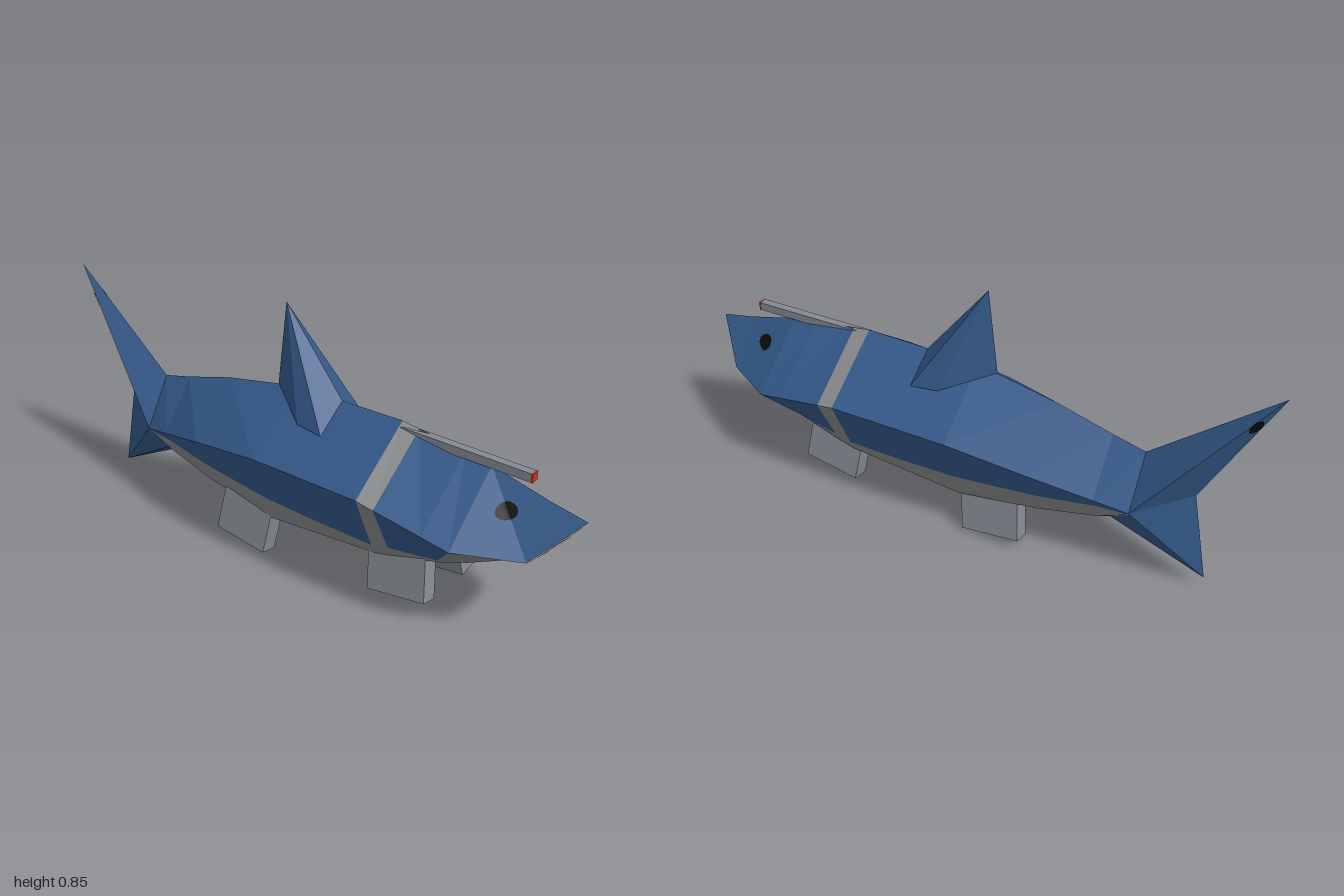
import * as THREE from 'three';

const paint = (name, color) => {
  const m = new THREE.MeshStandardMaterial({ color, side: THREE.DoubleSide, flatShading: true });
  m.name = name;
  return m;
};

// Triangles for the +z half, mirrored to the -z half
function mirrored(tris) {
  const out = [];
  for (const [a, b, c] of tris) {
    const area = new THREE.Triangle(...[a, b, c].map(p => new THREE.Vector3(...p))).getArea();
    if (area < 1e-7) continue;
    out.push(...a, ...b, ...c);
    for (const p of [a, c, b]) out.push(p[0], p[1], -p[2]);
  }
  const g = new THREE.BufferGeometry();
  g.setAttribute('position', new THREE.Float32BufferAttribute(out, 3));
  g.computeVertexNormals();
  return g;
}

export function createModel() {
  const model = new THREE.Group();
  model.name = 'armedShark';
  const blue = paint('sharkBlue', 0x34598a);
  const grey = paint('bellyGrey', 0x8a8b8c);
  const metal = paint('legGrey', 0x858a92);
  const black = paint('black', 0x0c0c0c);
  const pale = paint('toothWhite', 0xd2cfcd);
  const pink = paint('gumPink', 0xc98478);
  const red = paint('red', 0xc8352a);

  const add = (name, geometry, material, parent = model) => {
    const m = new THREE.Mesh(geometry, material);
    m.name = name;
    parent.add(m);
    return m;
  };

  // Body stations: x, ridge y, half width, shoulder y, paint line y, belly z, belly y, keel y
  const stations = [
    [-0.61, 0.45, 0.10, 0.28, 0.275, 0.07, 0.22, 0.19],
    [-0.50, 0.475, 0.125, 0.305, 0.275, 0.085, 0.215, 0.18],
    [-0.31, 0.525, 0.178, 0.355, 0.255, 0.105, 0.18, 0.145],
    [-0.03, 0.575, 0.218, 0.40, 0.235, 0.125, 0.145, 0.115],
    [0.155, 0.576, 0.225, 0.403, 0.222, 0.128, 0.16, 0.127],
    [0.38, 0.577, 0.233, 0.405, 0.212, 0.13, 0.177, 0.142],
    [0.44, 0.568, 0.23, 0.393, 0.225, 0.126, 0.188, 0.157],
    [0.60, 0.544, 0.22, 0.36, 0.232, 0.113, 0.222, 0.195],
    [0.69, 0.53, 0.213, 0.34, 0.34, 0.10, 0.25, 0.235],
    [0.88, 0.48, 0.11, 0.33, 0.33, 0.065, 0.325, 0.318],
    [1.0, 0.455, 0, 0.455, 0.455, 0, 0.455, 0.455],
  ];
  const rings = stations.map(([x, ry, w, sy, py, bz, by, ky], i) => {
    const f = sy === by ? 0 : (sy - py) / (sy - by);
    const bx = i ? x : -0.54;
    return [[x, ry, 0], [x, sy, w], [x, py, w + (bz - w) * f], [bx, by, bz], [bx, ky, 0]];
  });
  const skin = { back: [], belly: [], strap: [] };
  for (let i = 0; i < rings.length - 1; i++) {
    for (let r = 0; r < 4; r++) {
      const a = rings[i][r], b = rings[i][r + 1], c = rings[i + 1][r + 1], d = rings[i + 1][r];
      const part = r > 1 ? 'belly' : i === 5 ? 'strap' : 'back';
      skin[part].push([a, b, c], [a, c, d]);
    }
  }
  const back = add('back', mirrored(skin.back), blue);
  const belly = add('belly', mirrored(skin.belly), grey);
  add('strap', mirrored(skin.strap), grey);

  // Tail with a tall upper lobe and a short lower lobe
  const [R, S, , B, K] = rings[0];
  const T = [-1, 0.775, 0], N = [-0.78, 0.35, 0], L = [-0.84, 0.045, 0];
  const tail = add('tailFin', mirrored([[T, S, R], [T, N, S], [N, L, S], [L, B, S], [L, K, B]]), blue);

  // Dorsal fin
  const tip = [-0.065, 0.85, 0], front = [0.155, 0.576, 0], rear = [-0.1, 0.565, 0];
  const P = [0.155, 0.495, 0.11], Q = [0.06, 0.505, 0.105];
  add('dorsalFin', mirrored([[tip, Q, P], [tip, P, front], [tip, rear, Q]]), blue);

  // Four stubby legs, splayed outward
  for (const [name, x, y, tilt] of [['frontLeg', 0.465, 0.145, 0.13], ['rearLeg', -0.142, 0.105, -0.12]]) {
    for (const s of [1, -1]) {
      const leg = add(name, new THREE.BoxGeometry(0.205, 0.17, 0.06), metal);
      leg.position.set(x, y, s > 0 ? 0.104 : -0.092);
      leg.rotation.set(-0.19 * s, 0, tilt);
    }
  }

  // Beam emitter on the head
  const emitter = new THREE.Group();
  emitter.name = 'beamEmitter';
  emitter.position.set(0.605, 0.546, 0.005);
  emitter.rotation.z = -0.02;
  model.add(emitter);
  add('barrel', new THREE.BoxGeometry(0.44, 0.028, 0.028), metal, emitter);
  add('lens', new THREE.BoxGeometry(0.006, 0.029, 0.029), red, emitter).position.x = 0.222;

  // Thin painted patch: a grid laid onto the skin along the x or z axis
  const ray = new THREE.Raycaster();
  model.updateMatrixWorld(true);
  function patch(name, material, targets, axis, sign, lift, nu, nv, at) {
    const g = new THREE.PlaneGeometry(1, 1, nu, nv);
    const pos = g.attributes.position, uv = g.attributes.uv;
    let depth = 0;
    for (let i = 0; i < pos.count; i++) {
      const [a, y] = at(uv.getX(i), uv.getY(i));
      const o = axis === 'x' ? new THREE.Vector3(2, y, a) : new THREE.Vector3(a, y, 2 * sign);
      const d = axis === 'x' ? new THREE.Vector3(-1, 0, 0) : new THREE.Vector3(0, 0, -sign);
      ray.set(o, d);
      const hit = ray.intersectObjects(targets, false)[0];
      if (hit) depth = hit.point[axis];
      o[axis] = depth + lift * sign;
      pos.setXYZ(i, o.x, o.y, o.z);
    }
    g.computeVertexNormals();
    add(name, g, material);
  }
  const ellipse = (cx, cy, rx, ry, turn) => (u, v) => {
    const a = v * Math.PI * 2, p = u * rx * Math.cos(a), q = u * ry * Math.sin(a);
    return [cx + p * Math.cos(turn) - q * Math.sin(turn), cy + p * Math.sin(turn) + q * Math.cos(turn)];
  };
  const block = (z, y, w, h) => (u, v) => [z + (u - 0.5) * w + 0.0007, y + (v - 0.5) * h];

  // Eyes and dark tail spots on both sides
  for (const s of [1, -1]) {
    patch('eye', black, [back], 'z', s, 0.005, 3, 14, ellipse(0.78, 0.438, 0.03, 0.021, -0.1));
    patch('tailSpot', black, [tail], 'z', s, 0.004, 3, 12, ellipse(-0.927, 0.665, 0.03, 0.012, -1.07));
  }

  // Open mouth: pale patch, pink gums and red marks
  patch('mouth', pale, [belly], 'x', 1, 0.004, 8, 14, (u, v) => {
    const y = 0.292 + v * 0.135;
    return [(u - 0.5) * 2 * Math.min(0.092, (0.442 - y) * 0.85) + 0.0007, y];
  });
  patch('gums', pink, [belly], 'x', 1, 0.006, 6, 8, (u, v) => {
    const y = 0.322 + v * 0.075;
    return [(u - 0.5) * 2 * Math.min(0.06, (0.45 - y) * 0.6) + 0.005, y];
  });
  for (const [z, y, w, h] of [[0.022, 0.318, 0.02, 0.012], [0.055, 0.35, 0.02, 0.012],
    [-0.03, 0.345, 0.018, 0.014], [0.015, 0.392, 0.014, 0.016], [-0.015, 0.375, 0.02, 0.008]]) {
    patch('mouthMark', red, [belly], 'x', 1, 0.008, 2, 2, block(z, y, w, h));
  }
  return model;
}
